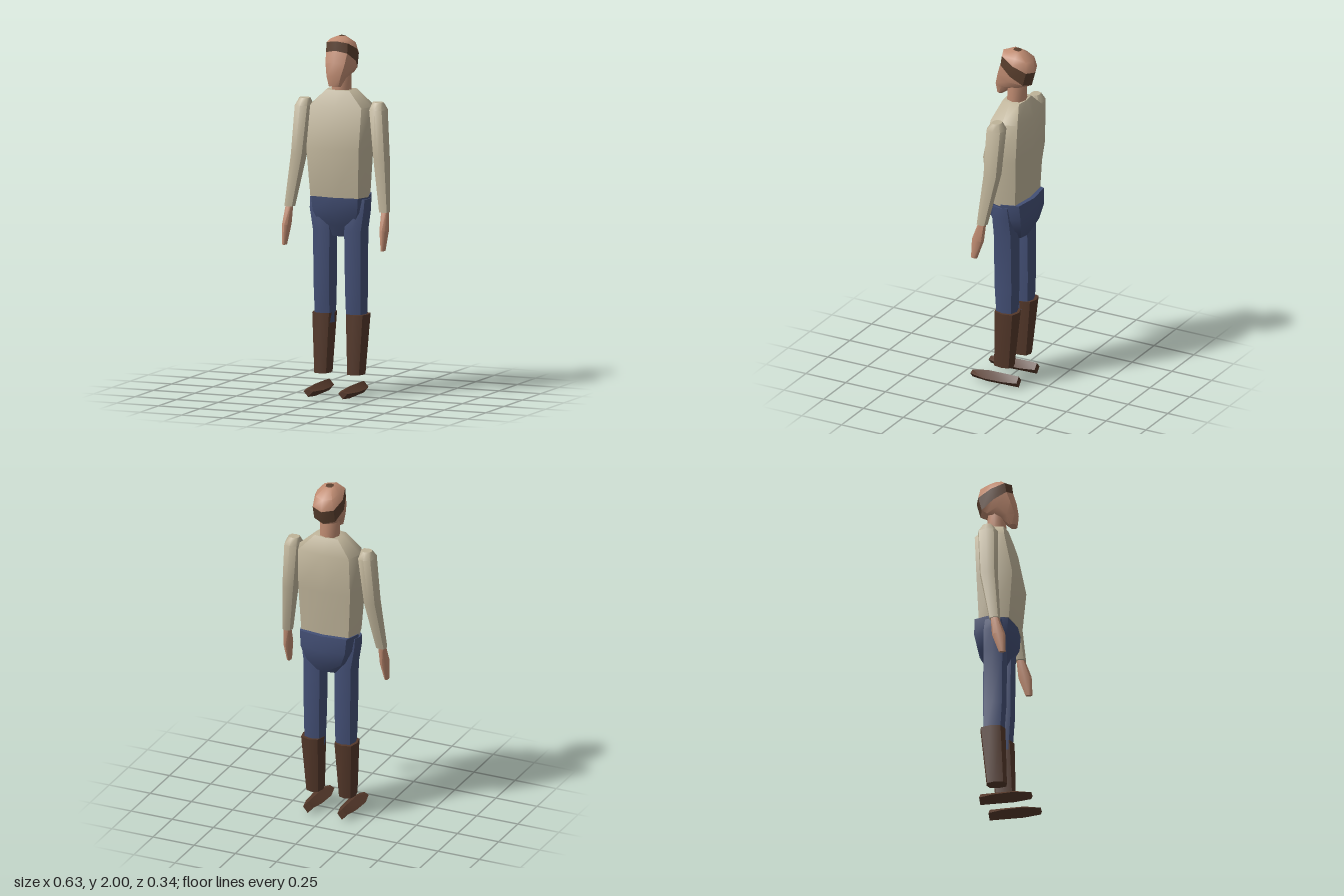
import * as THREE from 'three';
import { toCreasedNormals } from 'three/addons/utils/BufferGeometryUtils.js';

const mat = (name, color) => new THREE.MeshStandardMaterial({ name, color });

// Joins cross-sections (equal-length point loops) into a closed solid.
function loft(rings) {
  const n = rings[0].length, pos = [], index = [];
  rings.forEach(r => r.forEach(p => pos.push(...p)));
  for (let i = 0; i < rings.length - 1; i++) {
    for (let j = 0; j < n; j++) {
      const a = i * n + j, b = i * n + (j + 1) % n;
      index.push(a, b, b + n, a, b + n, a + n);
    }
  }
  const top = (rings.length - 1) * n;
  for (let j = 1; j < n - 1; j++) {
    index.push(0, j + 1, j, top, top + j, top + j + 1);
  }
  const g = new THREE.BufferGeometry();
  g.setAttribute('position', new THREE.Float32BufferAttribute(pos, 3));
  g.setIndex(index);
  return toCreasedNormals(g, 0.9);
}

// Horizontal or tilted section; power under 1 makes it boxier.
function ring(x, w, zFront, yFront, zBack, yBack, power = 0.8, n = 8) {
  const soft = v => Math.sign(v) * Math.pow(Math.abs(v) < 1e-6 ? 0 : Math.abs(v), power);
  return Array.from({ length: n }, (_, j) => {
    const a = j / n * Math.PI * 2, c = soft(Math.cos(a));
    const t = (1 + c) / 2;
    return [x + w * soft(Math.sin(a)), yBack + (yFront - yBack) * t, zBack + (zFront - zBack) * t];
  });
}
// Level section: height, centre x, half width, front z, back z
const level = power => ([y, x, w, zf, zb]) => ring(x, w, zf, y, zb, y, power);

export function createModel() {
  const model = new THREE.Group();
  model.name = 'figure';
  const skin = mat('skin', 0xc08c72);
  const shirt = mat('shirt', 0xbeb399);
  const trousers = mat('trousers', 0x434f75);
  const leather = mat('boot leather', 0x54382a);
  const hair = mat('hair', 0x5a3f2e);

  const add = (name, rings, material) => {
    const m = new THREE.Mesh(loft(rings), material);
    m.name = name;
    model.add(m);
  };

  // Torso and hips
  add('torso', [
    [1.11, 0, 0.17, 0.068, -0.135],
    [1.38, 0, 0.187, 0.094, -0.148],
    [1.61, 0, 0.183, 0.045, -0.155],
    [1.7, 0, 0.083, 0.012, -0.112],
  ].map(level(0.5)), shirt);
  add('hips', [
    [0.885, 0, 0.065, -0.005, -0.115],
    [0.95, 0, 0.125, 0.025, -0.15],
    [1.03, 0, 0.162, 0.062, -0.168],
    [1.12, 0, 0.171, 0.067, -0.162],
  ].map(level(0.55)), trousers);

  // Neck
  add('neck', [
    [1.68, 0, 0.058, 0.002, -0.108],
    [1.83, 0, 0.055, -0.002, -0.105],
  ].map(level(0.9)), skin);

  // Head, from chin to crown, in tilted sections
  const head = [
    [0.036, 0.062, 1.727, 0.022, 1.724],
    [0.056, 0.072, 1.785, -0.035, 1.768],
    [0.076, 0.06, 1.86, -0.115, 1.785],
    [0.084, 0.04, 1.925, -0.145, 1.8],
    [0.084, 0.033, 1.977, -0.167, 1.88],
    [0.065, 0.004, 1.989, -0.152, 1.945],
    [0.023, -0.033, 1.998, -0.078, 1.993],
    [0.006, -0.05, 2.0, -0.06, 2.0],
  ].map(([w, ...r]) => ring(0, w, ...r));
  add('face', head.slice(0, 4), skin);
  add('hairBand', head.slice(3, 5), hair);
  add('scalp', head.slice(4, 7), skin);
  add('crownTuft', head.slice(6), hair);

  for (const s of [1, -1]) {
    const side = s > 0 ? 'left' : 'right';
    const limb = (part, rows, power, material) =>
      add(side + part, rows.map(([y, x, ...r]) => level(power)([y, x * s, ...r])), material);

    // Sleeve and hand
    limb('Sleeve', [
      [1.04, 0.285, 0.03, 0.04, -0.022],
      [1.33, 0.248, 0.043, 0.017, -0.085],
      [1.6, 0.224, 0.049, 0.01, -0.102],
      [1.64, 0.22, 0.032, -0.02, -0.075],
    ], 0.8, shirt);
    limb('Hand', [
      [0.83, 0.296, 0.011, 0.074, 0.035],
      [0.94, 0.293, 0.022, 0.07, -0.005],
      [1.05, 0.287, 0.02, 0.03, -0.015],
    ], 0.8, skin);

    // Trouser leg and boot shaft
    limb('TrouserLeg', [
      [0.4, 0.094, 0.055, 0.012, -0.1],
      [0.6, 0.094, 0.059, 0.026, -0.108],
      [0.92, 0.094, 0.063, 0.03, -0.105],
      [1.04, 0.112, 0.064, 0.03, -0.1],
      [1.1, 0.125, 0.05, 0.02, -0.09],
    ], 0.7, trousers);
    limb('BootShaft', [
      [0.12, 0.099, 0.045, 0.03, -0.085],
      [0.455, 0.101, 0.064, 0.022, -0.12],
    ], 0.7, leather);

    // Shoe with diamond sections, heel to toe
    add(side + 'Shoe', [
      [-0.12, 0.028, 0.07, 0.005],
      [-0.04, 0.048, 0.07, 0.003],
      [0.075, 0.053, 0.068, 0],
      [0.17, 0.027, 0.05, 0.008],
    ].map(([z, w, yt, yb]) => [
      [s * 0.104 + w, 0.038, z], [s * 0.104, yt, z],
      [s * 0.104 - w, 0.038, z], [s * 0.104, yb, z],
    ]), leather);
  }
  return model;
}
